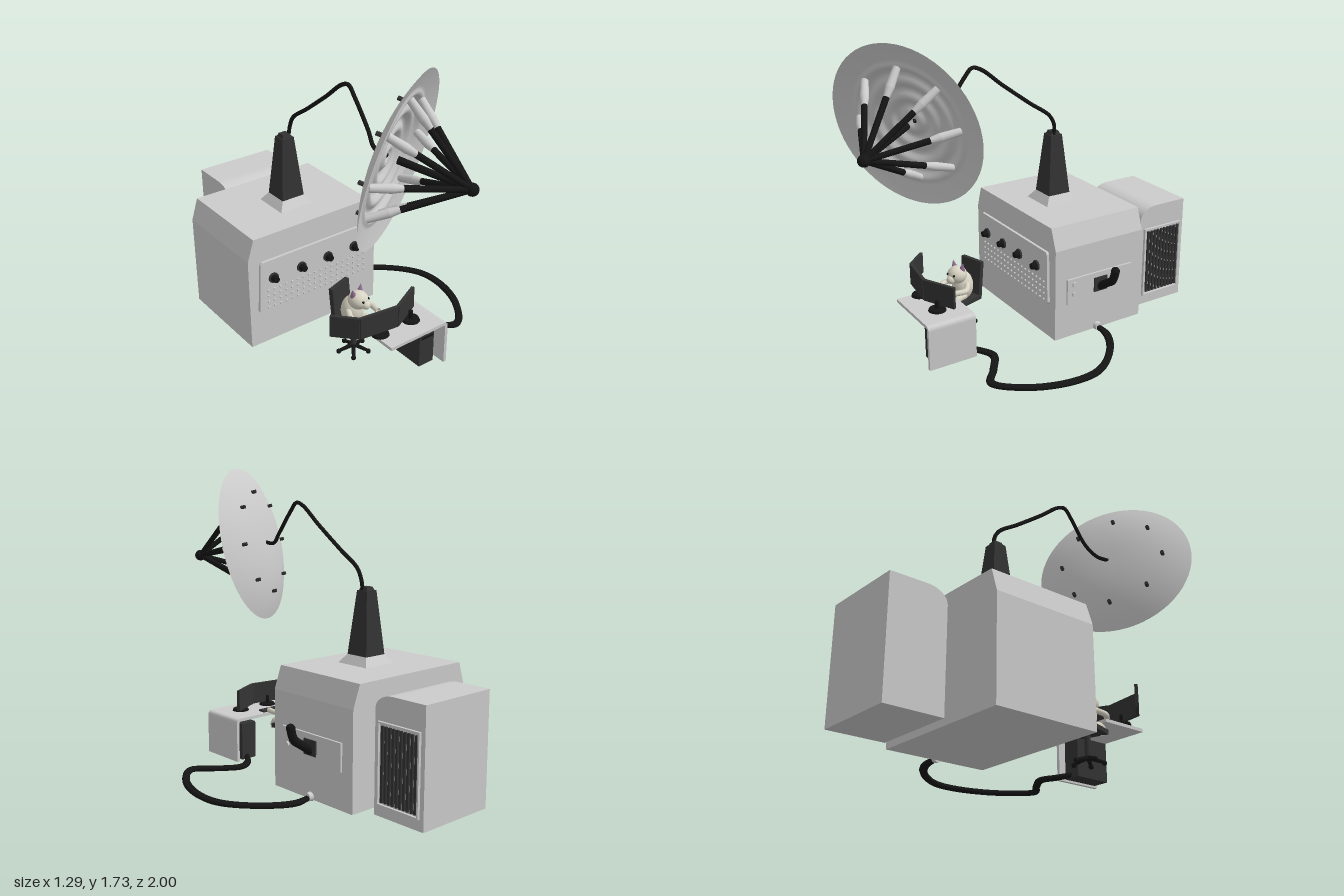
import * as THREE from 'three';

const V = (x, y, z) => new THREE.Vector3(x, y, z);
const mat = (color) => new THREE.MeshStandardMaterial({ color, side: THREE.DoubleSide });

export function createModel() {
  const root = new THREE.Group();
  const grey = mat(0xcccccc), dark = mat(0x333333), black = mat(0x151515);
  const cream = mat(0xd8d4c4), purple = mat(0x8c6a8c);

  const add = (name, geo, m, x = 0, y = 0, z = 0, parent = root) => {
    const mesh = new THREE.Mesh(geo, m);
    mesh.name = name;
    mesh.position.set(x, y, z);
    parent.add(mesh);
    return mesh;
  };
  // box given by its limits on each axis
  const box = (name, m, x0, x1, y0, y1, z0, z1, parent = root) =>
    add(name, new THREE.BoxGeometry(x1 - x0, y1 - y0, z1 - z0), m,
      (x0 + x1) / 2, (y0 + y1) / 2, (z0 + z1) / 2, parent);
  // tapered rod between two points
  const rod = (name, m, a, b, ra, rb = ra, parent = root, sides = 12) => {
    const d = b.clone().sub(a);
    const mid = a.clone().add(b).multiplyScalar(0.5);
    const mesh = add(name, new THREE.CylinderGeometry(rb, ra, d.length(), sides), m, mid.x, mid.y, mid.z, parent);
    mesh.quaternion.setFromUnitVectors(V(0, 1, 0), d.normalize());
    return mesh;
  };
  const tube = (name, m, pts, r, n = 64, parent = root) => add(name,
    new THREE.TubeGeometry(new THREE.CatmullRomCurve3(pts.map((p) => V(...p))), n, r, 10), m, 0, 0, 0, parent);
  const extrude = (pts, depth) => new THREE.ExtrudeGeometry(
    new THREE.Shape(pts.map((p) => new THREE.Vector2(...p))), { depth, bevelEnabled: false });
  const frustum = (name, m, w0, w1, y0, y1, x, z) => add(name,
    new THREE.CylinderGeometry(w1 * Math.SQRT2, w0 * Math.SQRT2, y1 - y0, 4, 1).rotateY(Math.PI / 4).toNonIndexed(),
    m, x, (y0 + y1) / 2, z).geometry.computeVertexNormals();

  // main cabinet with chamfered top sides
  add('cabinet', extrude([[-0.64, 0.02], [0.22, 0.02], [0.22, 0.565], [0.175, 0.69], [-0.6, 0.69], [-0.64, 0.565]], 0.6),
    grey, 0, 0, -0.61);

  // front control panel with knobs and small buttons
  add('controlPanel', extrude([[-0.575, 0.225], [0.155, 0.225], [0.165, 0.24], [0.155, 0.53], [0.145, 0.542],
    [-0.56, 0.542], [-0.572, 0.53], [-0.588, 0.24]], 0.018), grey, 0, 0, -0.012);
  for (const x of [-0.495, -0.31, -0.13, 0.055]) {
    rod('knobBase', dark, V(x, 0.43, 0), V(x, 0.43, 0.016), 0.03, 0.03, root, 20);
    rod('knob', black, V(x, 0.43, 0.016), V(x, 0.43, 0.045), 0.022, 0.017, root, 20);
  }
  for (let row = 0; row < 4; row++)
    for (let i = 0; i < 18; i++) {
      const x = -0.53 + i * 0.0388, y = 0.25 + row * 0.036;
      rod('panelButton', grey, V(x, y, 0.004), V(x, y, 0.014), 0.008, 0.006, root, 8);
    }

  // side panel with lever
  box('sidePanel', grey, 0.215, 0.232, 0.225, 0.38, -0.535, -0.085);
  for (const y of [0.345, 0.285])
    rod('sideButton', grey, V(0.23, y, -0.13), V(0.243, y, -0.13), 0.015, 0.015, root, 16);
  box('leverSlot', dark, 0.225, 0.24, 0.265, 0.35, -0.355, -0.265);
  tube('lever', black, [[0.23, 0.29, -0.31], [0.29, 0.33, -0.31], [0.345, 0.37, -0.31], [0.362, 0.41, -0.31], [0.368, 0.435, -0.31]], 0.024, 24);
  add('leverTip', new THREE.SphereGeometry(0.025, 14, 10), black, 0.368, 0.435, -0.31);

  // rear cooling unit with rounded front top edge
  const prof = [[0.675, 0.02], [1.0, 0.02], [1.0, 0.65], [0.79, 0.65]];
  for (let i = 1; i <= 8; i++) {
    const a = Math.PI / 2 + (i / 8) * Math.PI / 2;
    prof.push([0.79 + 0.115 * Math.cos(a), 0.575 + 0.075 * Math.sin(a)]);
  }
  add('coolingUnit', extrude(prof, 0.485).rotateY(Math.PI / 2), grey, -0.355, 0, 0);
  box('grilleBack', grey, 0.125, 0.132, 0.085, 0.51, -0.97, -0.705);
  for (const [y0, y1, z0, z1] of [[0.08, 0.09, -0.975, -0.7], [0.505, 0.515, -0.975, -0.7],
    [0.08, 0.515, -0.975, -0.965], [0.08, 0.515, -0.71, -0.7]])
    box('grilleFrame', grey, 0.125, 0.145, y0, y1, z0, z1);
  for (let i = 0; i < 10; i++) {
    const z = -0.725 - i * 0.0245;
    box('grilleSlat', dark, 0.128, 0.143, 0.1, 0.495, z - 0.014, z);
  }

  // mast
  const mx = -0.21, mz = -0.275;
  frustum('mastFoot', grey, 0.11, 0.07, 0.685, 0.74, mx, mz);
  frustum('mast', dark, 0.072, 0.037, 0.73, 1.09, mx, mz);
  frustum('mastCap', dark, 0.03, 0.022, 1.09, 1.11, mx, mz);
  tube('dishCable', black, [[-0.19, 1.09, -0.265], [-0.18, 1.15, -0.262], [-0.18, 1.21, -0.23], [-0.18, 1.3, -0.1], [-0.18, 1.43, 0.08],
    [-0.18, 1.53, 0.21], [-0.18, 1.545, 0.265], [-0.18, 1.5, 0.31], [-0.18, 1.36, 0.42], [-0.2, 1.3, 0.49], [-0.21, 1.3, 0.6]], 0.011, 90);

  // dish, built along its own axis and then aimed
  const dish = new THREE.Group();
  dish.name = 'dish';
  const n = V(0.48, -0.22, 0.85).normalize();
  const e1 = n.clone().multiplyScalar(n.z).sub(V(0, 0, 1)).normalize();
  dish.quaternion.setFromRotationMatrix(new THREE.Matrix4().makeBasis(e1, n, e1.clone().cross(n)));
  dish.position.set(-0.18, 1.285, 0.66);
  root.add(dish);
  const back = [], front = [];
  for (let i = 0; i <= 16; i++) {
    const r = 0.462 * i / 16;
    back.push(new THREE.Vector2(r, -0.095 * (1 - (i / 16) ** 2.4)));
  }
  for (let i = 0; i <= 48; i++) {
    const r = 0.462 * (1 - i / 48);
    const wave = r < 0.36 ? 0.011 * Math.cos((r - 0.33) * 2 * Math.PI / 0.095) * Math.min(1, (0.36 - r) / 0.03) : 0;
    front.push(new THREE.Vector2(r, -0.07 * (1 - (r / 0.462) ** 2) + wave));
  }
  add('dishBack', new THREE.LatheGeometry(back, 64), grey, 0, 0, 0, dish);
  add('dishFace', new THREE.LatheGeometry(front, 64), grey, 0, 0, 0, dish);

  // feed point, struts and strut bolts
  const feed = V(0, 0.365, 0);
  add('feed', new THREE.SphereGeometry(0.033, 20, 14), black, 0, 0.365, 0, dish);
  rod('feedRod', black, feed, V(0, -0.01, 0), 0.016, 0.02, dish);
  for (let k = 0; k < 8; k++) {
    const a = (k + 0.5) * Math.PI / 4, c = Math.cos(a), s = Math.sin(a);
    const end = V(0.32 * c, -0.03, 0.32 * s);
    const at = (t) => feed.clone().lerp(end, t);
    rod('strut', black, feed, at(0.68), 0.015, 0.017, dish);
    rod('strutNeck', grey, at(0.66), at(0.78), 0.016, 0.024, dish);
    rod('strutSleeve', grey, at(0.78), end, 0.024, 0.02, dish);
    rod('strutBolt', dark, V(0.305 * c, -0.05, 0.305 * s), V(0.305 * c, -0.085, 0.305 * s), 0.011, 0.011, dish, 8);
  }

  // ground cables and their socket
  rod('cableSocket', grey, V(0.215, 0.035, -0.3), V(0.245, 0.035, -0.3), 0.026, 0.022, root, 16);
  for (const o of [0, 0.018])
    tube('groundCable', black, [[0.22, 0.033, -0.3], [0.32, 0.022, -0.29 - o], [0.47, 0.02, -0.2 - o], [0.6 + o, 0.02, -0.03],
      [0.615 + o, 0.02, 0.15], [0.54 + o, 0.02, 0.37], [0.41, 0.02, 0.505 + o], [0.3, 0.02, 0.43 + o],
      [0.17, 0.02, 0.355 + o], [0.09, 0.022, 0.39 + o], [0.04, 0.04, 0.47]], 0.014, 100);

  // desk: top that bends down into one side
  const R = 0.03, desk = new THREE.Shape();
  desk.moveTo(-0.26, 0.28).lineTo(0.13 - R, 0.28).quadraticCurveTo(0.13, 0.28, 0.13, 0.28 - R)
    .lineTo(0.13, 0.02).lineTo(0.112, 0.02).lineTo(0.112, 0.25).quadraticCurveTo(0.112, 0.262, 0.1, 0.262).lineTo(-0.26, 0.262);
  add('desk', new THREE.ExtrudeGeometry(desk, { depth: 0.285, bevelEnabled: false }), grey, 0, 0, 0.445);
  box('computer', dark, -0.02, 0.08, 0.02, 0.24, 0.46, 0.68);
  for (const y of [0.19, 0.215]) box('computerDrive', black, -0.01, 0.07, y, y + 0.012, 0.675, 0.685);

  // three angled monitors
  const mp = [[-0.46, 0.475], [-0.355, 0.59], [-0.13, 0.62], [0.052, 0.53]];
  for (let i = 0; i < 3; i++) {
    const [x0, z0] = mp[i], [x1, z1] = mp[i + 1];
    const mon = add('monitor', new THREE.BoxGeometry(Math.hypot(x1 - x0, z1 - z0), 0.125, 0.018), dark,
      (x0 + x1) / 2, 0.363, (z0 + z1) / 2);
    mon.rotation.y = -Math.atan2(z1 - z0, x1 - x0);
  }
  for (const x of [-0.23, -0.02]) {
    rod('monitorStand', black, V(x, 0.285, 0.6), V(x, 0.34, 0.6), 0.012);
    add('monitorFoot', new THREE.CylinderGeometry(0.045, 0.05, 0.012, 20), black, x, 0.287, 0.6);
  }
  box('keyboard', dark, -0.25, -0.09, 0.28, 0.29, 0.46, 0.51);

  // swivel chair with seated cat, turned slightly
  const seat = new THREE.Group();
  seat.name = 'chairAndCat';
  seat.position.set(-0.21, 0, 0.35);
  seat.rotation.y = 0.3;
  root.add(seat);
  for (let i = 0; i < 5; i++) {
    const a = i * Math.PI * 0.4, c = 0.085 * Math.cos(a), s = 0.085 * Math.sin(a);
    rod('chairLeg', black, V(0, 0.06, 0), V(c, 0.035, s), 0.013, 0.009, seat, 8);
    add('caster', new THREE.SphereGeometry(0.014, 10, 8), black, c, 0.032, s, seat);
  }
  rod('chairPost', dark, V(0, 0.05, 0), V(0, 0.2, 0), 0.016, 0.016, seat);
  box('chairSeat', dark, -0.08, 0.08, 0.195, 0.22, -0.08, 0.09, seat);
  box('chairBack', dark, -0.075, 0.075, 0.21, 0.42, -0.1, -0.075, seat).rotation.x = -0.1;
  add('catBody', new THREE.SphereGeometry(0.065, 20, 14).scale(0.95, 1.35, 0.95), cream, 0, 0.285, -0.01, seat);
  add('catHead', new THREE.SphereGeometry(0.055, 20, 14).scale(1, 0.95, 1.05), cream, 0, 0.365, 0.03, seat);
  add('catMuzzle', new THREE.SphereGeometry(0.025, 14, 10), cream, 0, 0.35, 0.08, seat);
  for (const s of [-1, 1]) {
    add('catEar', new THREE.ConeGeometry(0.02, 0.05, 10), purple, s * 0.033, 0.418, 0.02, seat).rotation.z = -s * 0.25;
    add('catEye', new THREE.SphereGeometry(0.007, 8, 6), black, s * 0.024, 0.378, 0.08, seat);
    tube('catArm', cream, [[s * 0.05, 0.31, 0], [s * 0.085, 0.295, 0.05], [s * 0.06, 0.295, 0.12]], 0.016, 16, seat);
    tube('catLeg', cream, [[s * 0.035, 0.235, 0.01], [s * 0.045, 0.235, 0.08], [s * 0.045, 0.2, 0.1]], 0.02, 14, seat);
  }
  return root;
}
